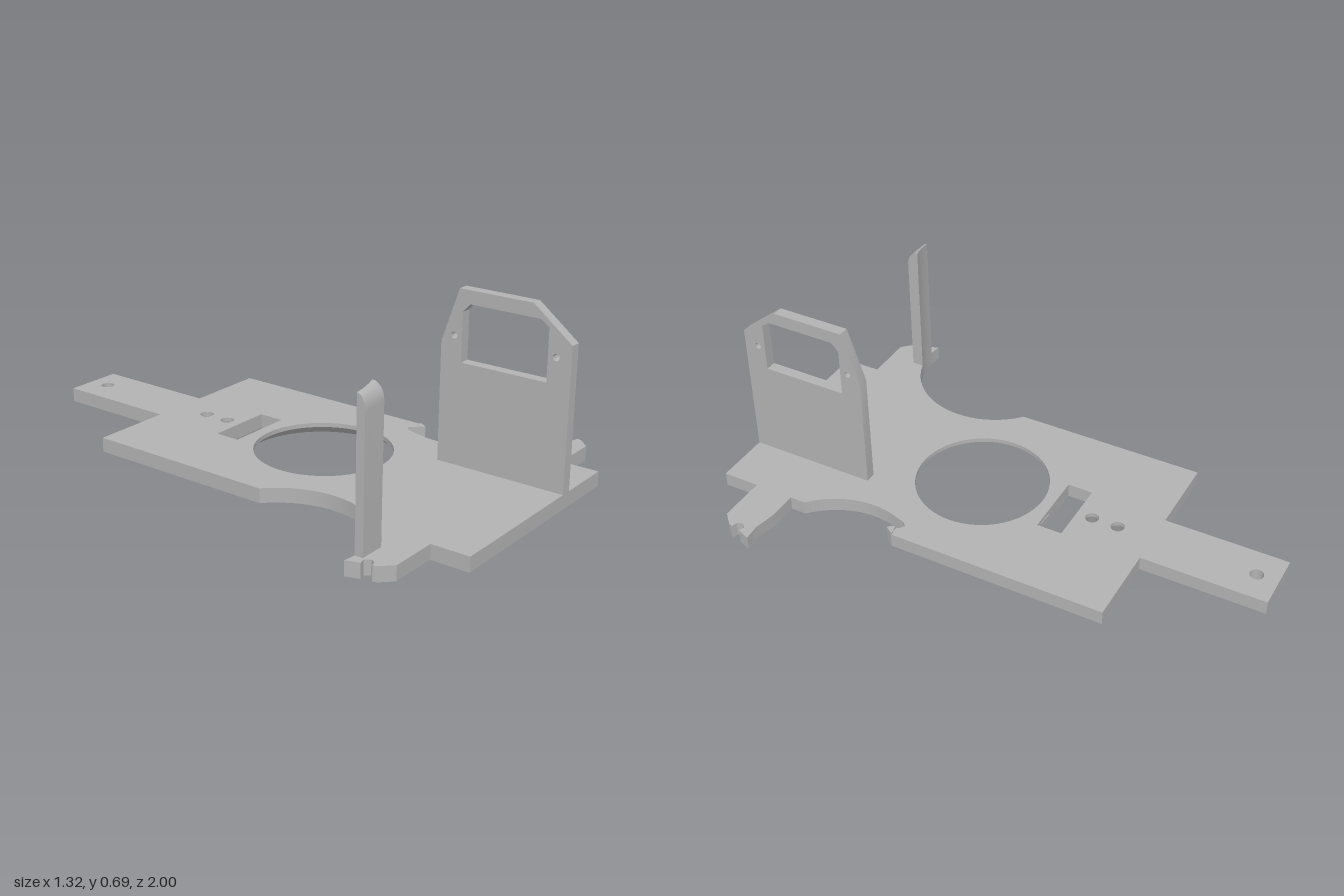
import * as THREE from 'three';
import { toCreasedNormals } from 'three/addons/utils/BufferGeometryUtils.js';

const Y0 = 0.007, LIP = 0.044, Y1 = 0.06;

// Arc points in plan (x, z)
function arc(cx, cz, r, a0, a1, n, mirror = 1) {
  return Array.from({ length: n + 1 }, (_, i) => {
    const a = a0 + (a1 - a0) * i / n;
    return [cx + mirror * r * Math.cos(a), cz + r * Math.sin(a)];
  });
}
const toShape = (pts) => new THREE.Shape(pts.map(([x, z]) => new THREE.Vector2(x, -z)));
const toHole = (pts) => new THREE.Path(pts.map(([x, z]) => new THREE.Vector2(x, -z)));
const circle = (x, z, r, n = 32) => toHole(arc(x, z, r, 0, Math.PI * 2 * (1 - 1 / n), n - 1));

// Extrude a plan shape upward between two heights
function slab(shape, y0, y1) {
  const g = new THREE.ExtrudeGeometry(shape, { depth: y1 - y0, bevelEnabled: false });
  g.rotateX(-Math.PI / 2).translate(0, y0, 0);
  return toCreasedNormals(g, 0.5);
}

// Extrude a side profile (z, y) across x
function sideways(shape, x0, x1, steps = 1) {
  const g = new THREE.ExtrudeGeometry(shape, { depth: x1 - x0, steps, bevelEnabled: false });
  return g.rotateY(Math.PI / 2).translate(x0, 0, 0);
}

export function createModel() {
  const group = new THREE.Group();
  const grey = new THREE.MeshStandardMaterial({ color: 0xb2b2b2 });
  grey.name = 'plain grey';
  const add = (name, geo) => {
    const m = new THREE.Mesh(geo, grey);
    m.name = name;
    group.add(m);
    return m;
  };

  // Base outline: tail, body, side bites and notched arms
  const armTip = [[0.66, 0.72], [0.643, 0.768], [0.62, 0.762], [0.606, 0.78],
    [0.615, 0.798], [0.635, 0.804], [0.63, 0.82], [0.59, 0.86], [0.41, 0.86]];
  const outline = [
    [-0.11, -1], [-0.11, -0.535], [-0.41, -0.535],
    ...arc(-0.61, 0.42, 0.305, -0.855, 1.6, 28),
    ...armTip.map(([x, z]) => [-x, z]),
    [-0.41, 1], [0.41, 1],
    ...armTip.slice().reverse(),
    [0.6, 0.725], [0.52, 0.71], [0.41, 0.71],
    ...arc(0.61, 0.42, 0.305, 0.855, -0.37, 20, -1),
    [0.333, 0.28], [0.35, 0.265], [0.366, 0.275], [0.378, 0.292], [0.41, 0.285],
    [0.41, -0.535], [0.11, -0.535], [0.11, -1],
  ];
  const slot = [[-0.125, -0.24], [0.125, -0.24], [0.125, -0.145], [-0.125, -0.145]];

  // Holes that flare toward the underside: x, z, top radius, bottom radius
  const flared = [[0, 0.145, 0.247, 0.295, 64], [0, -0.4, 0.025, 0.04, 24], [0, -0.3, 0.025, 0.04, 24]];

  for (const [name, y0, y1, k] of [['baseLower', Y0, LIP, 3], ['baseUpper', LIP, Y1, 2]]) {
    const s = toShape(outline);
    s.holes.push(toHole(slot), circle(0, -0.92, 0.025, 24));
    for (const f of flared) s.holes.push(circle(f[0], f[1], f[k], f[4]));
    add(name, slab(s, y0, y1));
  }
  for (const [x, z, r, R, n] of flared) {
    const cone = new THREE.LatheGeometry([new THREE.Vector2(r, LIP), new THREE.Vector2(R, Y0)], n);
    add('holeChamfer', cone).position.set(x, 0, z);
  }

  // Small spur at the edge of the right-hand bite
  add('edgeSpur', slab(toShape([[0.368, 0.29], [0.386, 0.318], [0.41, 0.283]]), 0, 0.065));

  // Upright bracket with window and screw holes
  const v = (z, y) => new THREE.Vector2(-z, y);
  const bracket = new THREE.Shape([v(1, Y1), v(0.515, Y1), v(0.515, 0.49), v(0.58, 0.685),
    v(0.855, 0.685), v(1, 0.57)]);
  bracket.holes.push(new THREE.Path([v(0.915, 0.43), v(0.915, 0.615), v(0.885, 0.637),
    v(0.622, 0.637), v(0.595, 0.607), v(0.595, 0.43)]));
  for (const z of [0.945, 0.565]) {
    bracket.holes.push(new THREE.Path().absarc(-z, 0.52, 0.012, 0, Math.PI * 2, true));
  }
  add('uprightBracket', toCreasedNormals(sideways(bracket, 0.16, 0.2), 0.5));

  // Post with rounded top; its back follows the curve of the side bite
  const top = Array.from({ length: 7 }, (_, i) => {
    const a = Math.PI / 2 * i / 6;
    return v(0.71 + 0.045 * Math.cos(a), 0.53 + 0.055 * Math.sin(a));
  });
  const post = sideways(new THREE.Shape([v(0.755, Y1), v(0.71, Y1), ...top.reverse()]), -0.615, -0.52, 6);
  const p = post.attributes.position;
  for (let i = 0; i < p.count; i++) {
    const x = p.getX(i), y = p.getY(i);
    const back = 0.42 + Math.sqrt(0.305 ** 2 - (x + 0.61) ** 2);
    p.setZ(i, 0.755 - (0.755 - p.getZ(i)) * (0.755 - back) / 0.045);
    if (y > 0.5) p.setY(i, y - 0.01 * (-0.52 - x) / 0.095);
  }
  add('post', toCreasedNormals(post, 0.5));

  return group;
}
